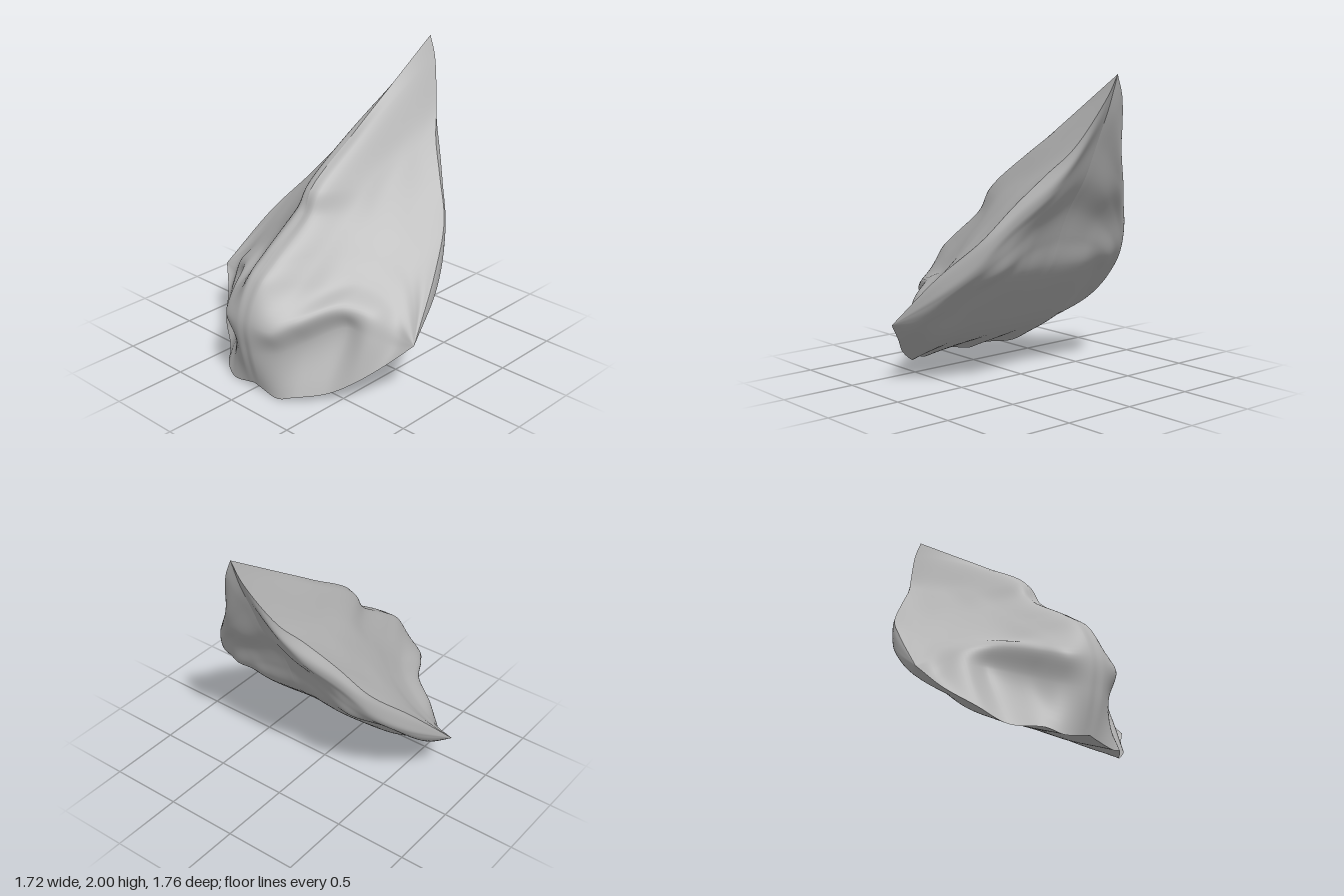
import * as THREE from 'three';

// Stations across the half-width; each section runs from the top rim to the bottom rim as [y, z]
const STATIONS = [0, 0.06, 0.2, 0.3, 0.45, 0.6, 0.74, 0.86];
const CORNER = Array.from({ length: 10 }, () => [0.42, 0.25]);

// Front: rim, slanted cheek, nose ledge, nostril hollow, lip
const FRONT = [
  [[2, -0.87], [1.74, -0.48], [1.5, -0.12], [1.23, 0.27], [1.08, 0.34], [0.87, 0.64], [0.75, 0.78], [0.52, 0.88], [0.3, 0.86], [0.045, 0.8]],
  [[1.87, -0.85], [1.7, -0.53], [1.48, -0.13], [1.22, 0.25], [1.08, 0.34], [0.87, 0.63], [0.75, 0.775], [0.52, 0.88], [0.3, 0.86], [0.03, 0.797]],
  [[1.56, -0.71], [1.48, -0.53], [1.36, -0.29], [1.2, 0], [1.05, 0.17], [0.87, 0.4], [0.72, 0.6], [0.5, 0.84], [0.32, 0.77], [0.005, 0.79]],
  [[1.41, -0.59], [1.33, -0.44], [1.22, -0.23], [1.08, -0.02], [0.95, 0.15], [0.82, 0.3], [0.69, 0.46], [0.54, 0.71], [0.38, 0.62], [0.035, 0.75]],
  [[1.215, -0.46], [1.15, -0.36], [1.06, -0.22], [0.96, -0.06], [0.87, 0.06], [0.78, 0.17], [0.7, 0.28], [0.6, 0.46], [0.46, 0.42], [0.06, 0.6]],
  [[1.0, -0.33], [0.95, -0.24], [0.89, -0.14], [0.83, -0.05], [0.77, 0.03], [0.7, 0.11], [0.63, 0.21], [0.56, 0.35], [0.44, 0.4], [0.16, 0.5]],
  [[0.76, -0.08], [0.73, -0.04], [0.69, 0.01], [0.65, 0.06], [0.6, 0.11], [0.55, 0.16], [0.5, 0.22], [0.44, 0.26], [0.38, 0.29], [0.29, 0.35]],
  CORNER,
];

// Back: rim, thick side edge, shallow middle, underside
const BACK = [
  [[2, -0.87], [1.8, -0.8], [1.6, -0.71], [1.36, -0.6], [1.14, -0.45], [0.95, -0.36], [0.76, -0.28], [0.52, -0.06], [0.24, 0.28], [0.045, 0.8]],
  [[1.87, -0.85], [1.72, -0.79], [1.55, -0.7], [1.34, -0.6], [1.13, -0.45], [0.94, -0.36], [0.76, -0.28], [0.52, -0.06], [0.24, 0.28], [0.03, 0.797]],
  [[1.56, -0.71], [1.48, -0.71], [1.38, -0.66], [1.24, -0.58], [1.08, -0.45], [0.92, -0.37], [0.76, -0.3], [0.52, -0.07], [0.25, 0.26], [0.005, 0.79]],
  [[1.41, -0.59], [1.35, -0.63], [1.27, -0.61], [1.16, -0.53], [1.03, -0.44], [0.89, -0.38], [0.76, -0.31], [0.52, -0.08], [0.26, 0.24], [0.035, 0.75]],
  [[1.215, -0.46], [1.17, -0.49], [1.1, -0.48], [1.02, -0.44], [0.92, -0.4], [0.8, -0.35], [0.68, -0.22], [0.49, -0.03], [0.28, 0.21], [0.06, 0.6]],
  [[1.0, -0.33], [0.965, -0.345], [0.91, -0.345], [0.85, -0.33], [0.78, -0.29], [0.7, -0.21], [0.6, -0.1], [0.47, 0.05], [0.32, 0.22], [0.16, 0.5]],
  [[0.76, -0.08], [0.74, -0.1], [0.7, -0.11], [0.66, -0.11], [0.61, -0.08], [0.56, -0.04], [0.5, 0.02], [0.44, 0.09], [0.37, 0.19], [0.29, 0.35]],
  CORNER,
];

const COLS = 56, ROWS = 72;

// Smooth surface through the sections; side is +1 for the left half, -1 for the right
function halfSurface(sections, side, isBack) {
  const downCurves = sections.map((s, i) =>
    new THREE.CatmullRomCurve3(s.map(([y, z]) => new THREE.Vector3(STATIONS[i], y, z))));
  const pos = [], index = [];
  for (let j = 0; j <= ROWS; j++) {
    const across = new THREE.CatmullRomCurve3(downCurves.map(c => c.getPoint(j / ROWS)));
    for (let i = 0; i <= COLS; i++) {
      const p = across.getPoint(i / COLS);
      pos.push(side * p.x, p.y, p.z);
    }
  }
  const flip = (side < 0) !== isBack;
  for (let j = 0; j < ROWS; j++) {
    for (let i = 0; i < COLS; i++) {
      const a = j * (COLS + 1) + i, b = a + COLS + 1, c = a + 1, d = b + 1;
      if (flip) index.push(a, c, b, c, d, b);
      else index.push(a, b, c, c, b, d);
    }
  }
  const geo = new THREE.BufferGeometry();
  geo.setAttribute('position', new THREE.Float32BufferAttribute(pos, 3));
  geo.setIndex(index);
  geo.computeVertexNormals();
  return geo;
}

export function createModel() {
  const group = new THREE.Group();
  group.name = 'snoutMask';
  const grey = new THREE.MeshStandardMaterial({ color: 0xb4b4b4 });
  grey.name = 'plain grey';

  for (const [side, label] of [[1, 'left'], [-1, 'right']]) {
    const face = new THREE.Mesh(halfSurface(FRONT, side, false), grey);
    face.name = label + 'Face';
    const back = new THREE.Mesh(halfSurface(BACK, side, true), grey);
    back.name = label + 'Back';
    group.add(face, back);
  }
  return group;
}
